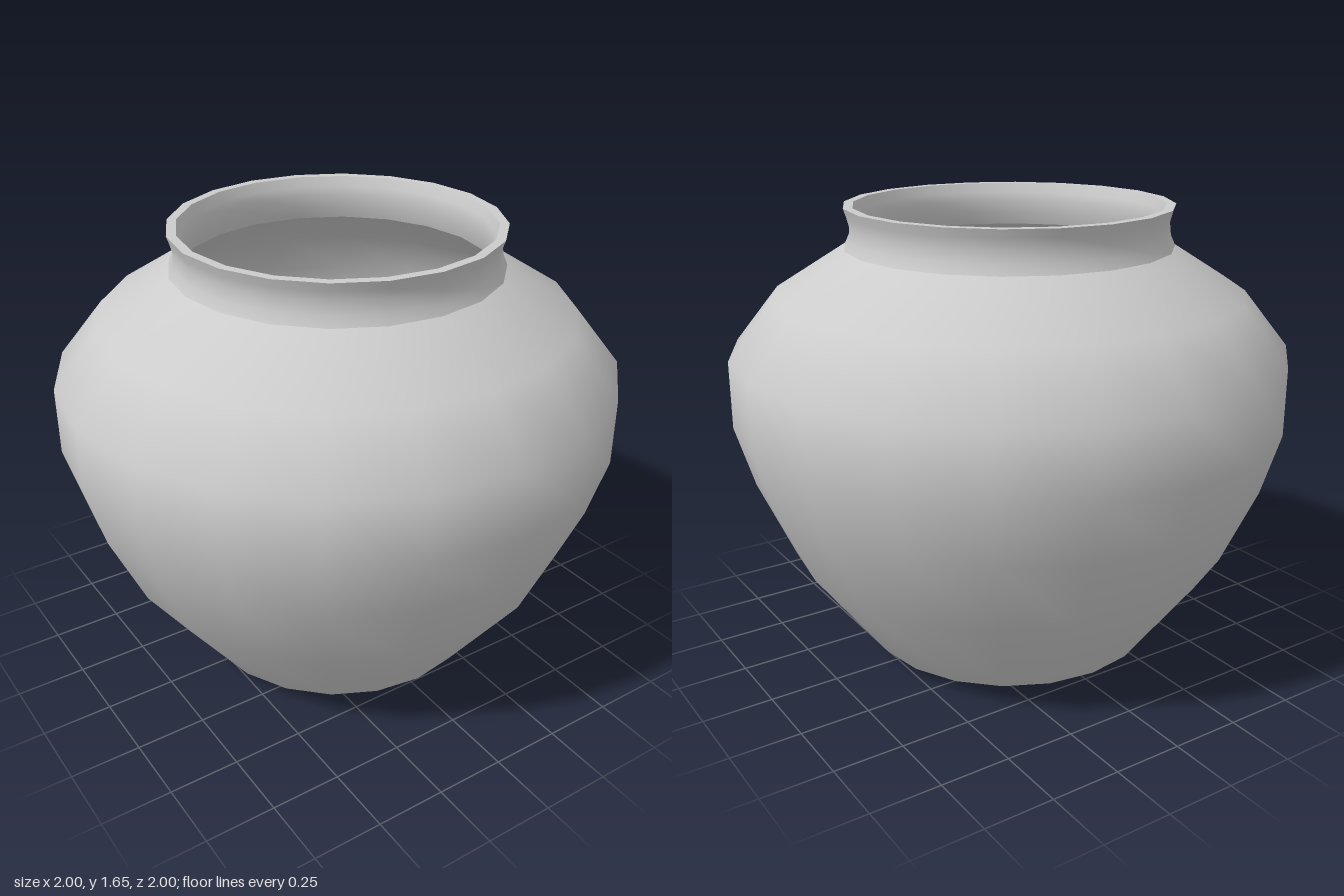
import * as THREE from 'three';

const SIDES = 20;

export function createModel() {
  const pot = new THREE.Group();
  pot.name = 'pot';
  const material = new THREE.MeshStandardMaterial({ color: 0xcccccc });

  // Revolve a [radius, height] profile; separate profiles keep the creases sharp
  const turn = (name, profile) => {
    const points = profile.map(([r, y]) => new THREE.Vector2(r, y));
    const mesh = new THREE.Mesh(new THREE.LatheGeometry(points, SIDES), material);
    mesh.name = name;
    pot.add(mesh);
  };

  // Base, belly and shoulder
  turn('body', [
    [0, 0], [0.46, 0.005], [0.54, 0.045], [0.81, 0.41], [0.935, 0.69],
    [1, 0.91], [1, 1.15], [0.84, 1.35], [0.585, 1.51],
  ]);

  // Waisted neck
  turn('neck', [[0.585, 1.51], [0.569, 1.545], [0.564, 1.59], [0.573, 1.625], [0.583, 1.655]]);

  // Flat top of the lip
  turn('rim', [[0.583, 1.655], [0.55, 1.655]]);

  // Inside of the neck
  turn('innerNeck', [[0.55, 1.655], [0.537, 1.62], [0.53, 1.59], [0.535, 1.54], [0.55, 1.495]]);

  // Hollow interior down to the floor
  turn('innerWall', [
    [0.55, 1.495], [0.81, 1.325], [0.96, 1.14], [0.96, 0.92], [0.9, 0.7],
    [0.775, 0.43], [0.515, 0.08], [0.44, 0.045], [0, 0.04],
  ]);

  return pot;
}
